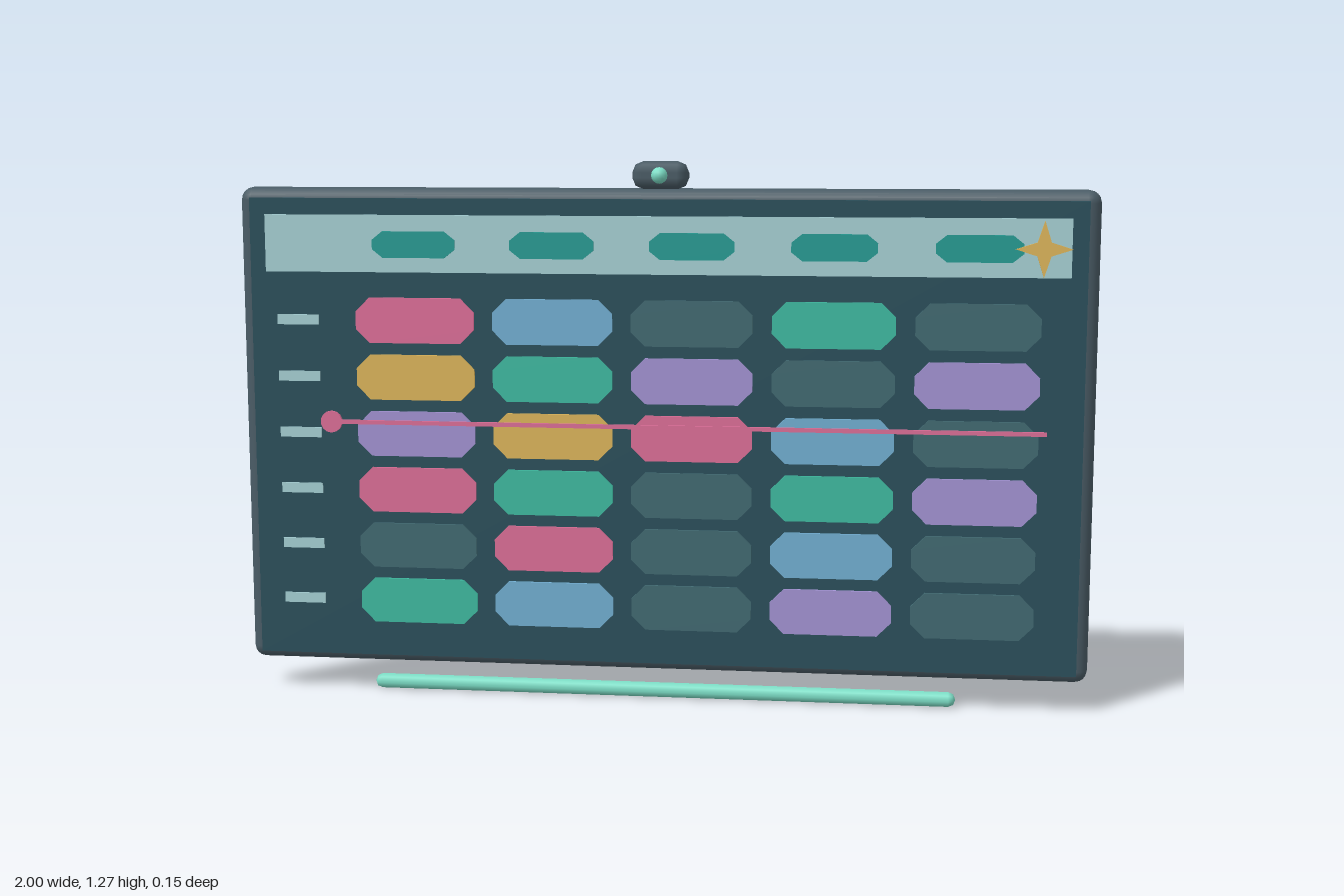
import * as THREE from 'three';
import { RoundedBoxGeometry } from 'three/addons/geometries/RoundedBoxGeometry.js';

const COLORS = {
  frame: 0x4a5c66, screen: 0x2b505c, header: 0xa8d3d7, pill: 0x269d95, mint: 0x7de0c8,
  P: 0xe0709a, B: 0x73b1d5, G: 0x3fbda3, Y: 0xdfb85c, V: 0xa595d6, E: 0x426b73,
};
const materials = {};
for (const key in COLORS) materials[key] = new THREE.MeshStandardMaterial({ color: COLORS[key] });

export function createModel() {
  const model = new THREE.Group();
  model.name = 'wallPlanner';

  function add(name, geometry, color, x, y, z, parent = model) {
    const mesh = new THREE.Mesh(geometry, materials[color]);
    mesh.name = name;
    mesh.position.set(x, y, z);
    parent.add(mesh);
    return mesh;
  }
  function group(name) {
    const g = new THREE.Group();
    g.name = name;
    model.add(g);
    return g;
  }
  const extrude = (points, depth) => new THREE.ExtrudeGeometry(
    new THREE.Shape(points.map(([x, y]) => new THREE.Vector2(x, y))),
    { depth, bevelEnabled: false });

  // Flat tile with cut corners, back face at z = 0
  function tile(w, h, cutX, cutY, depth) {
    const a = w / 2, b = h / 2;
    return extrude([
      [-a + cutX, -b], [a - cutX, -b], [a, -b + cutY], [a, b - cutY],
      [a - cutX, b], [-a + cutX, b], [-a, b - cutY], [-a, -b + cutY],
    ], depth);
  }

  // Housing, screen and rear mount
  add('frame', new RoundedBoxGeometry(2, 1.14, 0.066, 2, 0.03), 'frame', 0, 0.64, 0.024);
  add('screen', new THREE.BoxGeometry(1.945, 1.095, 0.02), 'screen', 0, 0.638, 0.052);
  add('rearMount', new RoundedBoxGeometry(0.53, 0.4, 0.07, 2, 0.03), 'frame', 0, 0.64, -0.041);

  // Header strip with one pill per column
  const columns = [0, 1, 2, 3, 4].map(i => -0.578 + i * 0.327);
  const rows = [0, 1, 2, 3, 4, 5].map(i => 0.9 - i * 0.1346);
  add('headerStrip', new THREE.BoxGeometry(1.87, 0.134, 0.006), 'header', 0, 1.08, 0.063);
  const pills = group('headerPills');
  const pillGeometry = tile(0.197, 0.062, 0.025, 0.02, 0.006);
  for (const x of columns) add('headerPill', pillGeometry, 'pill', x, 1.078, 0.063, pills);

  // Grid of schedule cells and the row marks beside it
  const cells = group('scheduleCells');
  const marks = group('rowMarks');
  const cellGeometry = tile(0.283, 0.107, 0.033, 0.033, 0.012);
  const markGeometry = new THREE.BoxGeometry(0.1, 0.024, 0.006);
  ['PBEGE', 'YGVEV', 'VYPBE', 'PGEGV', 'EPEBE', 'GBEVE'].forEach((codes, r) => {
    columns.forEach((x, c) => add('cell', cellGeometry, codes[c], x, rows[r], 0.056, cells));
    add('rowMark', markGeometry, 'header', -0.86, rows[r], 0.063, marks);
  });

  // Time line with its round marker
  add('timeLine', new THREE.BoxGeometry(1.69, 0.01, 0.006), 'P', 0.045, 0.658, 0.07);
  add('timeMarker', new THREE.CylinderGeometry(0.026, 0.026, 0.008, 14).rotateX(Math.PI / 2),
    'P', -0.783, 0.658, 0.07);

  // Four-pointed star at the end of the header
  const star = [];
  for (let i = 0; i < 8; i++) {
    const r = i % 2 ? 0.022 : 0.064, a = i * Math.PI / 4;
    star.push([r * Math.cos(a), r * Math.sin(a)]);
  }
  add('star', extrude(star, 0.008), 'Y', 0.873, 1.078, 0.067);

  // Camera pod and lens on the top edge
  add('cameraPod', new RoundedBoxGeometry(0.132, 0.064, 0.054, 1, 0.026), 'frame', 0, 1.24, 0.031);
  add('cameraLens', new THREE.SphereGeometry(0.019, 12, 8), 'mint', 0, 1.24, 0.059);

  // Floating light bar below the frame
  add('lightBar', new RoundedBoxGeometry(1.395, 0.034, 0.04, 1, 0.0165), 'mint', 0, 0.018, 0.031);

  return model;
}
